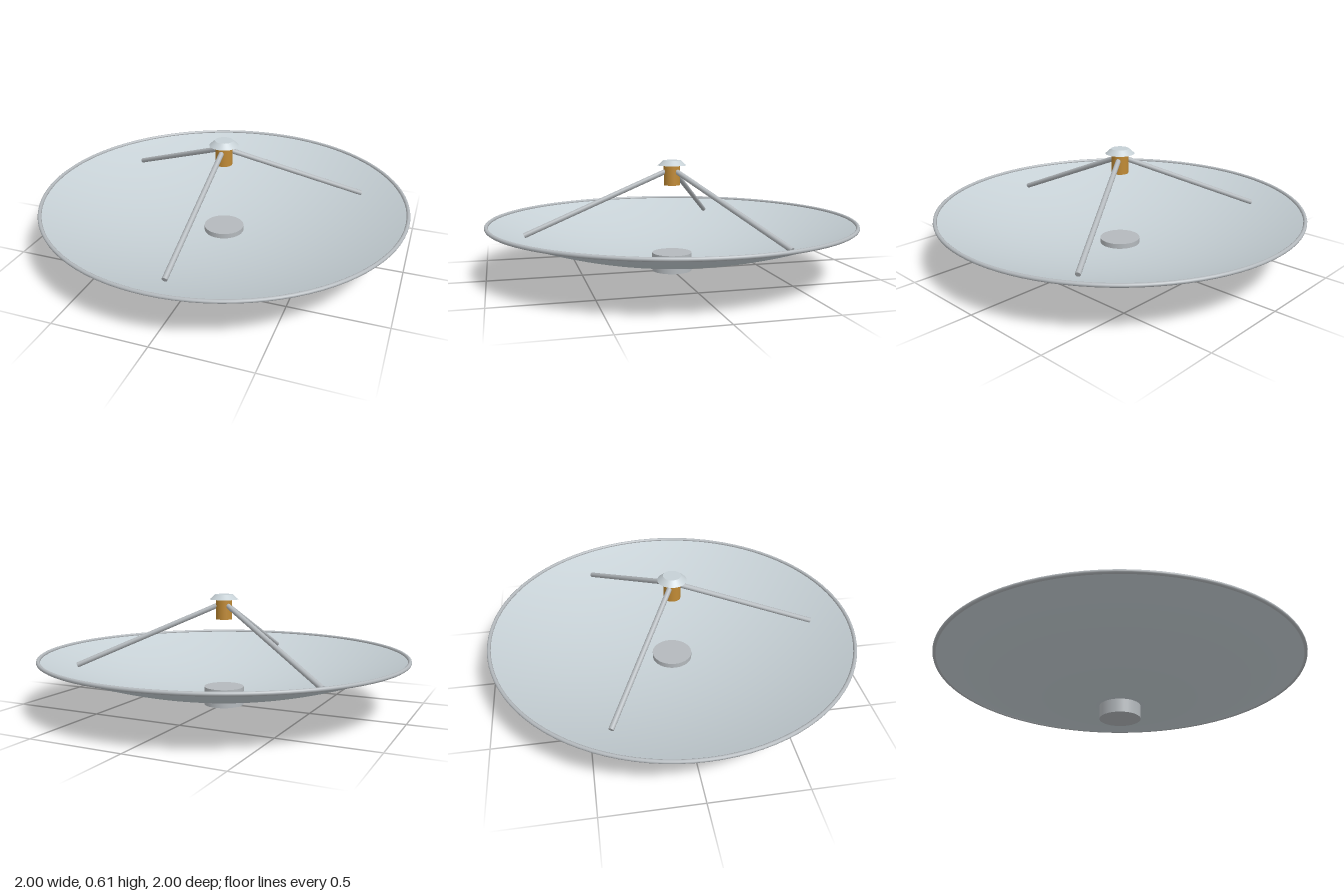
import * as THREE from 'three';

const dishPaint = new THREE.MeshStandardMaterial({ color: 0xc6d0d5, side: THREE.DoubleSide });
dishPaint.name = 'dish pale grey';
const metal = new THREE.MeshStandardMaterial({ color: 0xb4b9bd });
metal.name = 'metal grey';
const brass = new THREE.MeshStandardMaterial({ color: 0xc08a35 });
brass.name = 'feed brass';

function add(group, name, geometry, material, y = 0) {
  const mesh = new THREE.Mesh(geometry, material);
  mesh.name = name;
  mesh.position.y = y;
  group.add(mesh);
  return mesh;
}

// Round bar between two points
function bar(group, name, a, b, radius) {
  const dir = b.clone().sub(a);
  const mesh = add(group, name, new THREE.CylinderGeometry(radius, radius, dir.length(), 12), metal);
  mesh.position.copy(a).add(b).multiplyScalar(0.5);
  mesh.quaternion.setFromUnitVectors(new THREE.Vector3(0, 1, 0), dir.normalize());
}

export function createModel() {
  const model = new THREE.Group();
  model.name = 'dishAntenna';

  // Shallow parabolic bowl
  const profile = [];
  for (let i = 0; i <= 24; i++) {
    const r = 0.99 * i / 24;
    profile.push(new THREE.Vector2(r, 0.07 + 0.214 * r * r));
  }
  add(model, 'dish', new THREE.LatheGeometry(profile, 96), dishPaint);

  // Rolled edge
  const rim = new THREE.TorusGeometry(0.99, 0.01, 10, 96);
  rim.rotateX(Math.PI / 2);
  add(model, 'rim', rim, metal, 0.28);

  // Mounting hub through the bottom of the bowl
  add(model, 'hub', new THREE.CylinderGeometry(0.11, 0.11, 0.1, 32), metal, 0.05);

  // Feed horn and its tapered cap
  add(model, 'feed', new THREE.CylinderGeometry(0.045, 0.045, 0.11, 24), brass, 0.53);
  add(model, 'feedCap', new THREE.CylinderGeometry(0.048, 0.078, 0.027, 32), dishPaint, 0.5965);

  // Three struts carrying the feed, the first one at the front
  for (let i = 0; i < 3; i++) {
    const angle = i * Math.PI * 2 / 3;
    const at = (r, y) => new THREE.Vector3(r * Math.sin(angle), y, r * Math.cos(angle));
    bar(model, 'strut' + (i + 1), at(0.8, 0.23), at(0.03, 0.553), 0.014);
  }
  return model;
}
